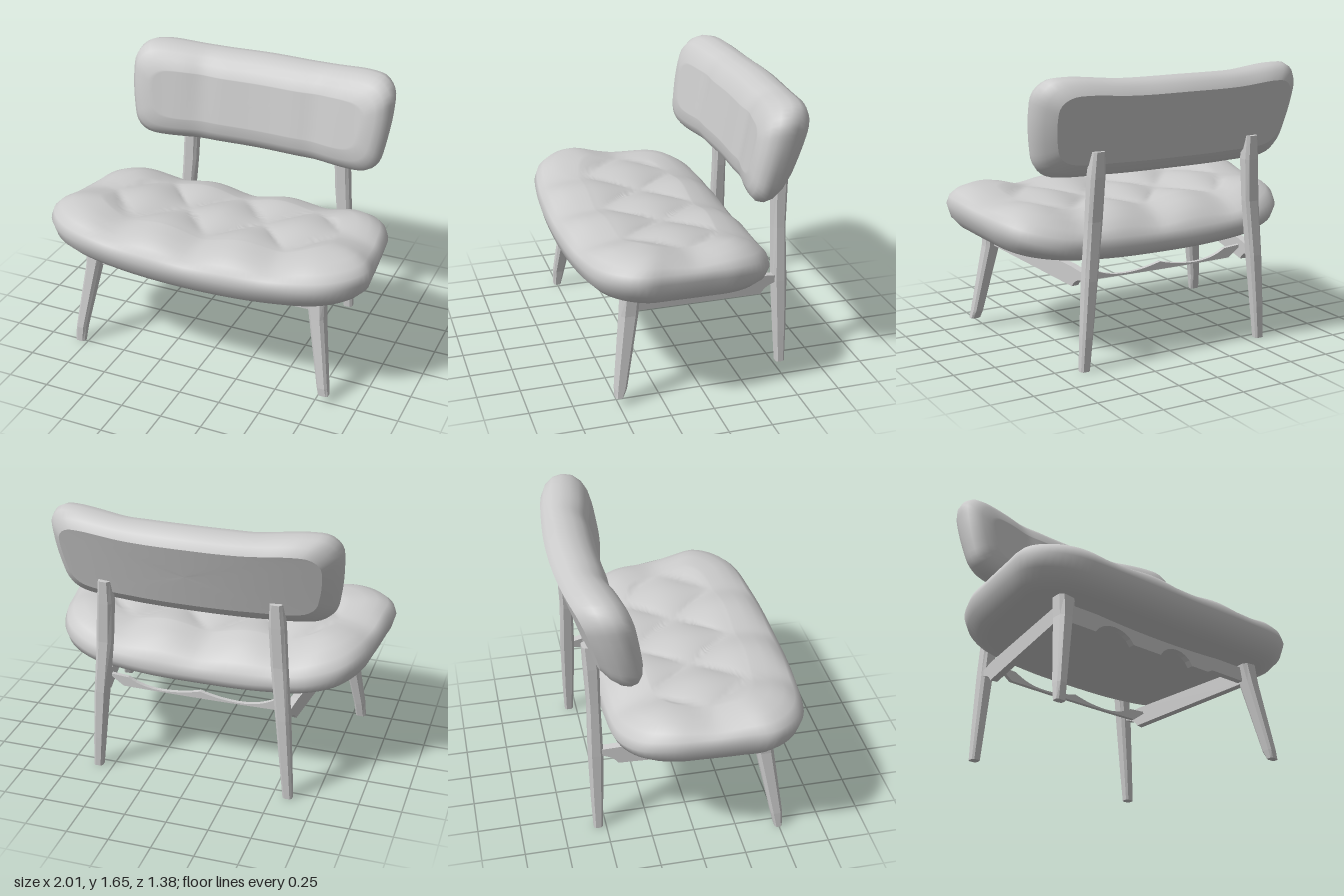
import * as THREE from 'three';

const material = new THREE.MeshStandardMaterial({ color: 0xcccccc });
const wood = new THREE.MeshStandardMaterial({ color: 0xcccccc, flatShading: true });

function addMesh(parent, name, geometry, mat = wood) {
  const mesh = new THREE.Mesh(geometry, mat);
  mesh.name = name;
  parent.add(mesh);
  return mesh;
}

// Triangulates closed rings of n points that follow one another
function skin(positions, n, ringCount, capped) {
  const index = [];
  for (let i = 0; i < ringCount - 1; i++) {
    for (let j = 0; j < n; j++) {
      const k = (j + 1) % n;
      const a = i * n + j, b = i * n + k, c = a + n, d = b + n;
      index.push(a, c, b, b, c, d);
    }
  }
  if (capped) {
    const top = (ringCount - 1) * n;
    for (let j = 1; j < n - 1; j++) {
      index.push(0, j, j + 1, top, top + j + 1, top + j);
    }
  }
  const g = new THREE.BufferGeometry();
  g.setAttribute('position', new THREE.Float32BufferAttribute(positions, 3));
  g.setIndex(index);
  g.computeVertexNormals();
  return g;
}

// Pillow: mirrored outline (half, clockwise from the top), a profile of
// [inset, depth] from back to face, and a rule placing each point.
// A profile point given twice makes a sharp edge.
function pillow(half, profile, warp) {
  const n = 128;
  const left = half.slice(1, -1).reverse().map(([x, y]) => [-x, y]);
  const curve = new THREE.CatmullRomCurve3(
    [...half, ...left].map(([x, y]) => new THREE.Vector3(x, y, 0)), true, 'centripetal');
  const outline = curve.getSpacedPoints(n).slice(0, n);
  const w = Math.max(...half.map((p) => p[0]));
  const h = Math.max(...half.map((p) => p[1]));

  const rings = [];
  const first = profile[0], last = profile[profile.length - 1];
  for (let i = 0; i < 5; i++) rings.push([...first, 0.002 + i / 5]);
  profile.forEach((p) => rings.push([...p, 1]));
  for (let i = 23; i >= 0; i--) rings.push([...last, 0.002 + i / 24]);

  const positions = [];
  for (const [inset, depth, f] of rings) {
    for (const p of outline) {
      positions.push(...warp(p.x * (1 - inset / w) * f, p.y * (1 - inset / h) * f, depth));
    }
  }
  return skin(positions, n, rings.length, true);
}

// Chamfered tapering bar through sections [x, y, z, halfWidth, halfDepth]
function limb(sections) {
  const corners = [[1, 0.6], [0.6, 1], [-0.6, 1], [-1, 0.6], [-1, -0.6], [-0.6, -1], [0.6, -1], [1, -0.6]];
  const positions = [];
  for (const [x, y, z, w, d] of sections) {
    for (const [cx, cz] of corners) positions.push(x + cx * w, y, z + cz * d);
  }
  return skin(positions, 8, sections.length, true);
}

function plank(shape, thickness) {
  return new THREE.ExtrudeGeometry(shape, { depth: thickness, bevelEnabled: false, curveSegments: 8 })
    .translate(0, 0, -thickness / 2);
}

// Diamond tufting: 0 on the creases, 1 in the middle of a puff
function tuft(x, z) {
  const u = THREE.MathUtils.clamp(x / 0.245, -3, 3);
  const v = THREE.MathUtils.clamp((z - 0.08) / 0.3, -1, 1);
  return Math.abs(Math.cos((u + v) * Math.PI / 2) * Math.cos((u - v) * Math.PI / 2)) ** 0.75;
}

export function createModel() {
  const chair = new THREE.Group();
  chair.name = 'loungeChair';

  // Seat cushion: ends lifted, front higher than the back, rear edge drooping
  const seatCentre = 0.11;
  const seatOutline = [[0, -0.46], [0.4, -0.46], [0.68, -0.43], [0.85, -0.33], [0.93, -0.18], [0.96, 0],
    [0.99, 0.25], [1, 0.4], [0.93, 0.52], [0.8, 0.61], [0.5, 0.665], [0, 0.685]]
    .map(([x, z]) => [x, seatCentre - z]);
  const seatProfile = [[0.13, 0], [0.07, 0.01], [0.02, 0.06], [0, 0.13], [0.015, 0.18],
    [0.05, 0.22], [0.11, 0.255], [0.18, 0.275], [0.26, 0.285]];
  addMesh(chair, 'seatCushion', pillow(seatOutline, seatProfile, (x, b, d) => {
    const z = seatCentre - b;
    const crease = 0.04 * (1 - tuft(x, z)) * THREE.MathUtils.smoothstep(d, 0.16, 0.27);
    const droop = 0.4 * Math.min(z + 0.15, 0) ** 2 * THREE.MathUtils.smoothstep(d, 0, 0.13);
    return [x, 0.585 + d + 0.06 * z + 0.07 * x * x - crease - droop, z];
  }), material);

  // Backrest, reclined and curved around the sitter, with two soft creases
  const backOutline = [[0, 0.27], [0.37, 0.27], [0.68, 0.29], [0.77, 0.275], [0.83, 0.21], [0.84, 0.1],
    [0.82, -0.1], [0.79, -0.21], [0.72, -0.27], [0.37, -0.285], [0, -0.285]];
  const backProfile = [[0.09, 0], [0.09, 0], [0.04, 0.035], [0.01, 0.08], [0, 0.13], [0.01, 0.18],
    [0.04, 0.22], [0.08, 0.245], [0.14, 0.26]];
  addMesh(chair, 'backrest', pillow(backOutline, backProfile, (x, y, d) => {
    const crease = 1 - 0.05 * Math.exp(-(((Math.abs(x) - 0.37) / 0.09) ** 2));
    const back = -0.635 - 0.32 * y + 0.14 * x * x;
    return [x, 1.36 + y, back + d * crease * (1 + 0.5 * y)];
  }), material);

  // Legs and side rails
  for (const [s, side] of [[1, 'left'], [-1, 'right']]) {
    const foot = s > 0 ? 0.05 : 0;
    addMesh(chair, side + 'FrontLeg', limb([
      [s * 0.8, foot, 0.497, 0.03, 0.022],
      [s * 0.79, 0.1, 0.485, 0.032, 0.034],
      [s * 0.72, 0.52, 0.415, 0.044, 0.05],
      [s * 0.705, 0.65, 0.4, 0.055, 0.05],
    ]));
    addMesh(chair, side + 'RearLeg', limb([
      [s * 0.59, 0, -0.547, 0.028, 0.026],
      [s * 0.575, 0.2, -0.545, 0.033, 0.034],
      [s * 0.55, 0.52, -0.54, 0.04, 0.042],
      [s * 0.52, 0.85, -0.537, 0.045, 0.037],
      [s * 0.505, 1.1, -0.54, 0.045, 0.044],
      [s * 0.5, 1.24, -0.55, 0.035, 0.038],
    ]));

    const front = new THREE.Vector3(s * 0.7, 0, 0.39);
    const run = new THREE.Vector3(s * 0.555, 0, -0.52).sub(front);
    const length = run.length();
    const shape = new THREE.Shape();
    shape.moveTo(0, 0.53);
    shape.lineTo(length - 0.11, 0.458);
    shape.quadraticCurveTo(length - 0.08, 0.51, length, 0.515);
    shape.lineTo(length, 0.555);
    shape.lineTo(length - 0.13, 0.575);
    shape.lineTo(0, 0.625);
    const rail = addMesh(chair, side + 'SideRail', plank(shape, 0.045));
    rail.position.copy(front);
    rail.rotation.y = Math.atan2(-run.z, run.x);
  }

  // Front rail with two arched cut-outs
  const frontShape = new THREE.Shape();
  frontShape.moveTo(-0.69, 0.52);
  for (const [centre, r] of [[-0.34, 0.14], [0.13, 0.125]]) {
    frontShape.lineTo(centre - r, 0.52);
    frontShape.bezierCurveTo(centre - r * 0.6, 0.61, centre + r * 0.6, 0.61, centre + r, 0.52);
  }
  frontShape.lineTo(0.38, 0.52);
  frontShape.lineTo(0.42, 0.54);
  frontShape.lineTo(0.69, 0.54);
  frontShape.lineTo(0.69, 0.625);
  frontShape.lineTo(-0.69, 0.625);
  addMesh(chair, 'frontRail', plank(frontShape, 0.04)).position.z = 0.385;

  // Slim rear rail, thicker where it meets the side rails
  const rearShape = new THREE.Shape();
  rearShape.moveTo(-0.58, 0.54);
  rearShape.lineTo(-0.48, 0.468);
  rearShape.quadraticCurveTo(0, 0.46, 0.48, 0.468);
  rearShape.lineTo(0.58, 0.54);
  rearShape.lineTo(0.45, 0.53);
  rearShape.quadraticCurveTo(0.36, 0.475, 0.24, 0.475);
  rearShape.quadraticCurveTo(0.12, 0.475, 0, 0.51);
  rearShape.quadraticCurveTo(-0.12, 0.475, -0.24, 0.475);
  rearShape.quadraticCurveTo(-0.36, 0.475, -0.45, 0.53);
  addMesh(chair, 'rearRail', plank(rearShape, 0.025)).position.z = -0.37;

  return chair;
}
